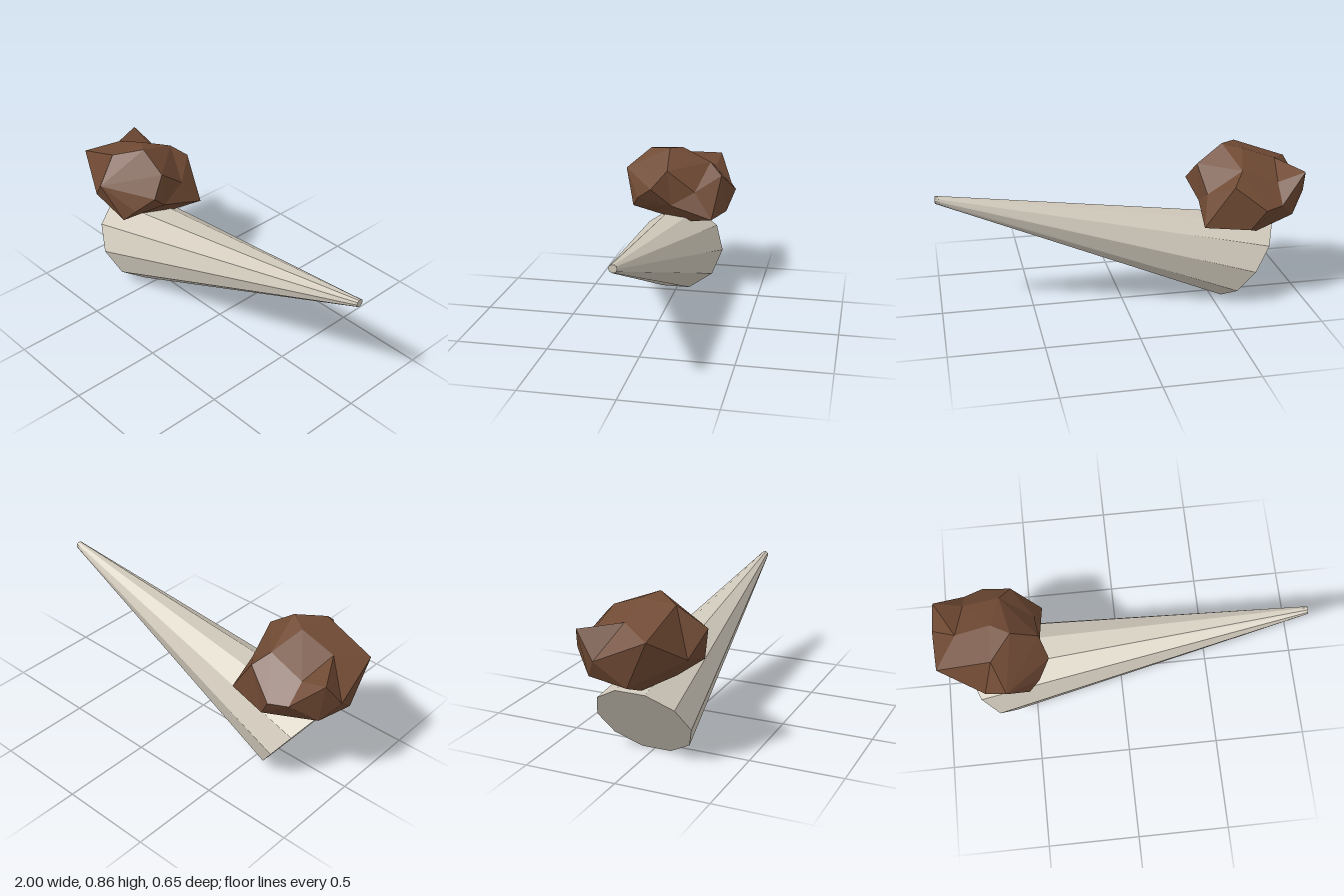
import * as THREE from 'three';
import { ConvexGeometry } from 'three/addons/geometries/ConvexGeometry.js';

const bone = new THREE.MeshStandardMaterial({ color: 0xd0c9bb, flatShading: true });
bone.name = 'pale bone';
const earth = new THREE.MeshStandardMaterial({ color: 0x704a34, flatShading: true });
earth.name = 'earth brown';

// Ten-sided skewed cone: slanted base ring, upright ring at the tip
function makeCone() {
  const geo = new THREE.CylinderGeometry(0.021, 0.2625, 1, 10);
  const pos = geo.attributes.position;
  for (let i = 0; i < pos.count; i++) {
    const across = pos.getX(i), z = pos.getZ(i) + 0.008;
    if (pos.getY(i) > 0) pos.setXYZ(i, 1, 0.661 - across, z);
    else pos.setXYZ(i, -0.7 + across * 0.564, 0.206 - across * 0.826, z);
  }
  const flat = geo.toNonIndexed();
  flat.computeVertexNormals();
  const mesh = new THREE.Mesh(flat, bone);
  mesh.name = 'cone';
  return mesh;
}

// Faceted lump: corners are joined by their direction from the middle,
// so that corners may also be sunk inwards
function makeLump() {
  const middle = new THREE.Vector3(-0.7, 0.63, 0);
  const corners = [
    // crown
    [-0.57, 0.86, 0.05], [-0.67, 0.845, -0.01], [-0.68, 0.832, 0.185], [-0.86, 0.775, 0],
    [-0.62, 0.775, -0.185],
    // front
    [-0.62, 0.715, 0.325], [-0.74, 0.585, 0.27], [-0.45, 0.58, 0.22], [-0.51, 0.515, 0.26],
    // side above the cone
    [-0.39, 0.65, 0.13], [-0.43, 0.755, 0.04], [-0.45, 0.63, -0.12], [-0.44, 0.545, 0.02],
    [-0.41, 0.48, -0.225],
    // back
    [-0.56, 0.71, -0.26], [-0.72, 0.59, -0.325], [-0.82, 0.6, -0.285], [-0.65, 0.47, -0.28],
    [-0.82, 0.7, -0.19],
    // outer end
    [-0.97, 0.73, 0.165], [-0.97, 0.75, -0.2], [-1, 0.61, -0.1], [-0.95, 0.48, 0.05],
    [-0.92, 0.5, -0.17],
    // underside
    [-0.52, 0.43, -0.05], [-0.72, 0.412, -0.16], [-0.82, 0.425, 0.06], [-0.62, 0.45, 0.16],
  ].map((c) => new THREE.Vector3(...c));
  const dirs = corners.map((c) => c.clone().sub(middle).normalize());
  const geo = new ConvexGeometry(dirs);
  const pos = geo.attributes.position;
  const v = new THREE.Vector3();
  for (let i = 0; i < pos.count; i++) {
    v.fromBufferAttribute(pos, i);
    let best = 0;
    dirs.forEach((d, k) => { if (d.dot(v) > dirs[best].dot(v)) best = k; });
    pos.setXYZ(i, ...corners[best].toArray());
  }
  geo.computeVertexNormals();
  const mesh = new THREE.Mesh(geo, earth);
  mesh.name = 'lump';
  return mesh;
}

export function createModel() {
  const group = new THREE.Group();
  group.name = 'coneWithLump';
  group.add(makeCone(), makeLump());
  return group;
}
